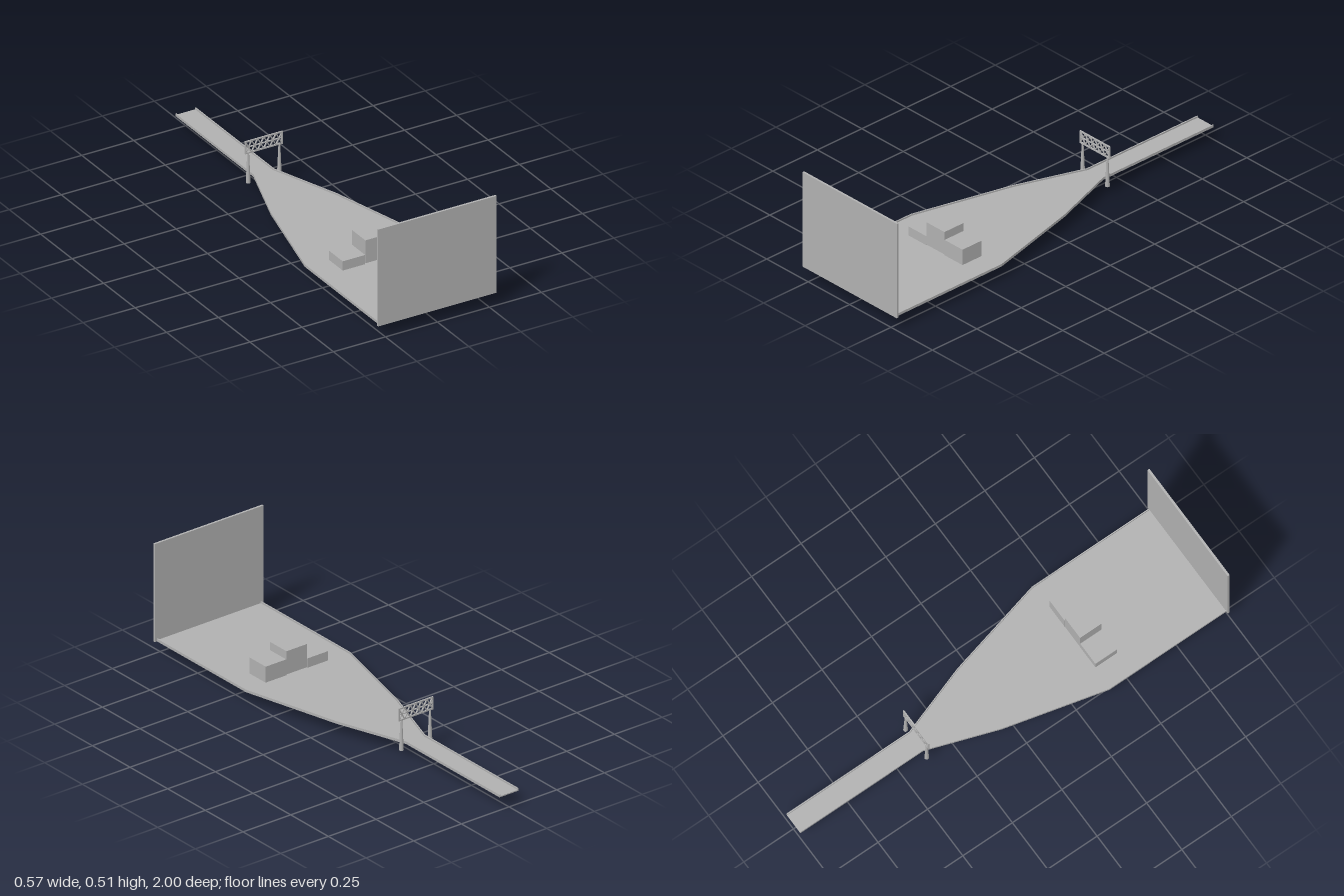
import * as THREE from 'three';

export function createModel() {
  const model = new THREE.Group();
  const grey = new THREE.MeshStandardMaterial({ color: 0xb0b0b0 });
  const add = (geo, name, x = 0, y = 0, z = 0, parent = model) => {
    const m = new THREE.Mesh(geo, grey);
    m.name = name;
    m.position.set(x, y, z);
    parent.add(m);
    return m;
  };

  // Half outline of the track: x, z
  const side = [[0.05, -1], [0.05, -0.38], [0.16, -0.06], [0.275, 0.4], [0.275, 0.99]];
  const rimWidth = 0.005;

  // Extrude a plan outline (x, z) upwards from y
  const slab = (points, y, height, name) => {
    const shape = new THREE.Shape(points.map(([x, z]) => new THREE.Vector2(x, -z)));
    const geo = new THREE.ExtrudeGeometry(shape, { depth: height, bevelEnabled: false });
    geo.rotateX(-Math.PI / 2);
    return add(geo, name, 0, y, 0);
  };
  const mirrored = side.map(([x, z]) => [-x, z]).reverse();
  slab([...side, ...mirrored], 0.059, 0.005, 'trackFloor');

  // Low rims along both edges
  for (const s of [1, -1]) {
    const outer = side.map(([x, z]) => [s * x, z]);
    const inner = side.map(([x, z]) => [s * (x - rimWidth), z]).reverse();
    slab([...outer, ...inner], 0.064, 0.007, s > 0 ? 'leftRim' : 'rightRim');
  }

  // End wall
  add(new THREE.BoxGeometry(0.57, 0.452, 0.01), 'endWall', 0, 0.284, 0.995);

  // Winners' podium: three equal blocks at stepped heights
  const block = new THREE.BoxGeometry(0.108, 0.107, 0.108);
  add(block, 'podiumRight', -0.109, 0.0535, 0.463);
  add(block, 'podiumMiddle', 0, 0.121, 0.463);
  add(block, 'podiumLeft', 0.109, 0.084, 0.463);

  // Start gate with tapered posts
  const gate = new THREE.Group();
  gate.name = 'startGate';
  gate.position.z = -0.38;
  model.add(gate);
  for (const s of [1, -1]) {
    add(new THREE.CylinderGeometry(0.004, 0.01, 0.14, 16), 'gatePost', s * 0.075, 0.11, 0, gate);
  }

  // Lattice banner between the posts
  const beam = (x0, y0, x1, y1, t, name) => {
    const dx = x1 - x0, dy = y1 - y0;
    const m = add(new THREE.BoxGeometry(Math.hypot(dx, dy), t, 0.006), name,
      (x0 + x1) / 2, (y0 + y1) / 2, 0, gate);
    m.rotation.z = Math.atan2(dy, dx);
  };
  const w = 0.088, low = 0.179, high = 0.232, cells = 6;
  for (const y of [low, high]) beam(-w, y, w, y, 0.006, 'latticeChord');
  beam(-w, (low + high) / 2, w, (low + high) / 2, 0.004, 'latticeMiddleChord');
  for (const s of [1, -1]) beam(s * w, low - 0.003, s * w, high + 0.003, 0.005, 'latticeEnd');
  for (let i = 0; i < cells; i++) {
    const x0 = -w + (2 * w * i) / cells, x1 = x0 + (2 * w) / cells;
    beam(x0, low, x1, high, 0.004, 'latticeBrace');
    beam(x0, high, x1, low, 0.004, 'latticeBrace');
  }
  return model;
}
